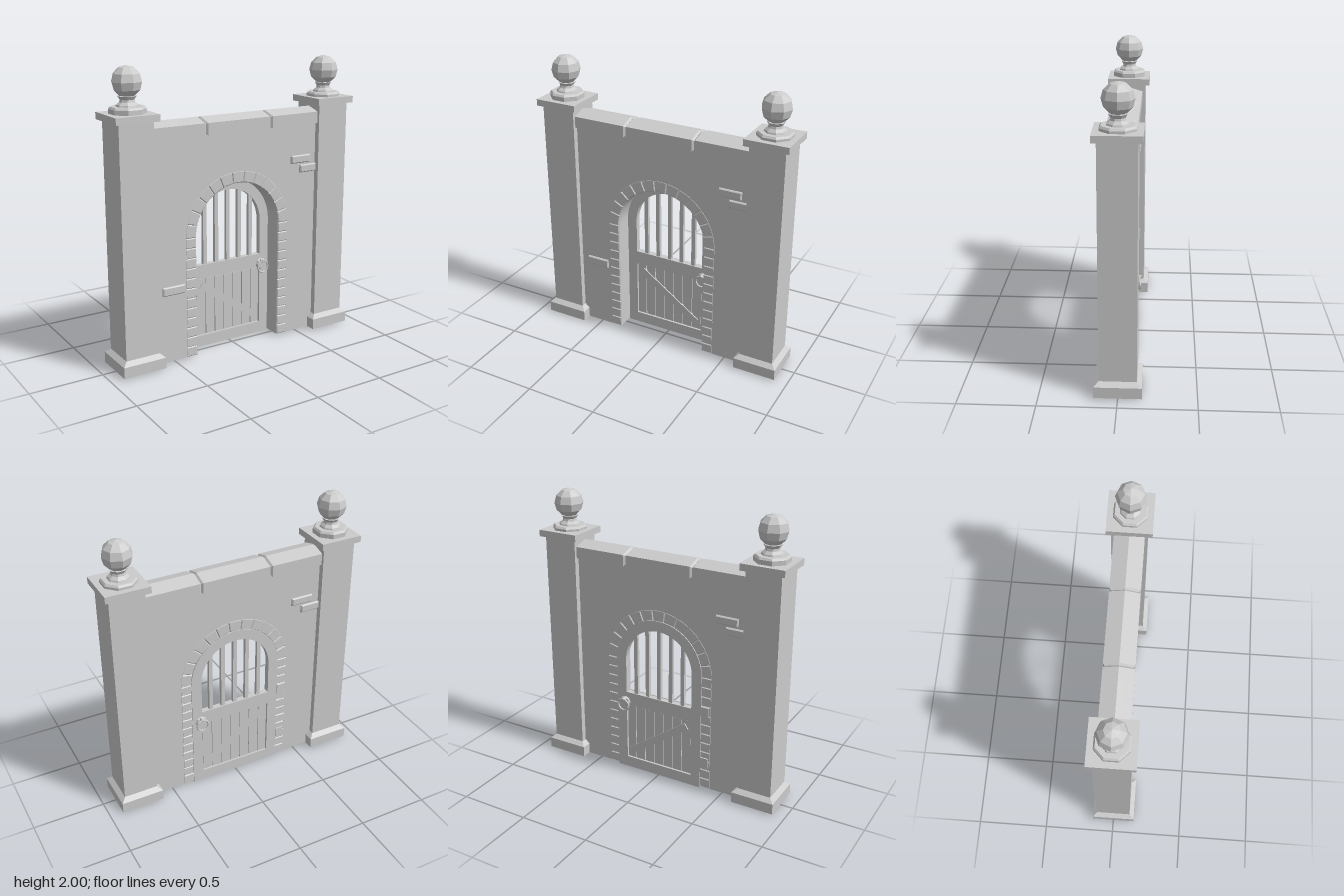
import * as THREE from 'three';

const stone = new THREE.MeshStandardMaterial({ color: 0xcccccc, flatShading: true });

function add(parent, name, geometry, x = 0, y = 0, z = 0) {
  const mesh = new THREE.Mesh(geometry, stone);
  mesh.name = name;
  mesh.position.set(x, y, z);
  parent.add(mesh);
  return mesh;
}

// Box given by its lower and upper limits on each axis
function slab(parent, name, [x0, x1], [y0, y1], [z0, z1]) {
  return add(parent, name, new THREE.BoxGeometry(x1 - x0, y1 - y0, z1 - z0),
    (x0 + x1) / 2, (y0 + y1) / 2, (z0 + z1) / 2);
}

// Extrusion centred on z = 0, with an optional chamfer kept inside the outline
function extrude(shape, depth, bevel = 0, curveSegments = 12) {
  const g = new THREE.ExtrudeGeometry(shape, {
    depth: depth - 2 * bevel, bevelEnabled: bevel > 0, bevelSize: bevel,
    bevelThickness: bevel, bevelOffset: -bevel, bevelSegments: 1, curveSegments,
  });
  return g.translate(0, 0, -depth / 2 + bevel);
}

const polygon = pts => new THREE.Shape(pts.map(p => new THREE.Vector2(...p)));
const rect = (x0, x1, y0, y1) => polygon([[x0, y0], [x1, y0], [x1, y1], [x0, y1]]);

const SPRING = 0.85; // height of the arch centre

// Straight sides with a half-round head
function archOutline(r, bottom) {
  const s = new THREE.Shape();
  s.moveTo(-r, bottom);
  s.lineTo(r, bottom);
  s.lineTo(r, SPRING);
  s.absarc(0, SPRING, r, 0, Math.PI, false);
  s.lineTo(-r, bottom);
  return s;
}

function lathe(points) {
  return new THREE.LatheGeometry(points.map(p => new THREE.Vector2(...p)), 8, Math.PI / 8);
}

function makePillar(name, x, drop) {
  const g = new THREE.Group();
  g.name = name;
  g.position.x = x;
  slab(g, 'pillarBase', [-0.152, 0.152], [0.01, 0.085], [-0.152, 0.152]);
  const chamfer = new THREE.CylinderGeometry(0.12 * Math.SQRT2, 0.152 * Math.SQRT2, 0.027, 4);
  add(g, 'baseChamfer', chamfer.rotateY(Math.PI / 4), 0, 0.0985);
  slab(g, 'pillarShaft', [-0.12, 0.12], [0.1, 1.66], [-0.12, 0.12]);
  slab(g, 'pillarCap', [-0.15, 0.15], [1.66, 1.705], [-0.15, 0.15]);
  // Finial: octagonal plinth, waisted neck and faceted ball
  add(g, 'finialPlinth', lathe([[0, 1.69], [0.119, 1.69], [0.119, 1.735], [0.108, 1.748], [0, 1.748]]), 0, -drop);
  add(g, 'finialNeck', lathe([[0.075, 1.745], [0.07, 1.758], [0.05, 1.775], [0.046, 1.79], [0.06, 1.812], [0, 1.83]]), 0, -drop);
  add(g, 'finialBall', new THREE.SphereGeometry(0.1, 8, 6), 0, 1.9 - drop);
  return g;
}

function makeWall() {
  const g = new THREE.Group();
  g.name = 'wall';
  const r = 0.405;
  const s = new THREE.Shape();
  s.moveTo(-0.66, 0.01);
  s.lineTo(-r, 0.01);
  s.lineTo(-r, SPRING);
  s.absarc(0, SPRING, r, Math.PI, 0, true);
  s.lineTo(r, 0.01);
  s.lineTo(0.66, 0.01);
  s.lineTo(0.66, 1.54);
  s.lineTo(-0.66, 1.54);
  add(g, 'wallPanel', extrude(s, 0.16, 0, 16));

  // Ridged coping stones, chamfered at the joints
  const profile = polygon([[-0.1, 1.53], [0.1, 1.53], [0.1, 1.61], [0, 1.64], [-0.1, 1.61]]);
  for (const [a, b] of [[-0.66, -0.255], [-0.255, 0.25], [0.25, 0.655]]) {
    add(g, 'copingStone', extrude(profile, b - a, 0.012).rotateY(Math.PI / 2), (a + b) / 2);
  }

  // Bricks standing slightly proud of the wall
  const bricks = [
    [0.43, 0.59, 1.26, 1.315, 1], [0.505, 0.65, 1.19, 1.245, 1], [-0.59, -0.425, 0.485, 0.545, 1],
    [-0.59, -0.43, 1.26, 1.315, -1], [-0.65, -0.505, 1.19, 1.245, -1],
  ];
  for (const [x0, x1, y0, y1, side] of bricks) {
    add(g, 'raisedBrick', extrude(rect(x0, x1, y0, y1), 0.04, 0.007), 0, 0, side * 0.075);
  }
  return g;
}

function makeArch() {
  const g = new THREE.Group();
  g.name = 'archSurround';
  const inner = 0.33, outer = 0.412, depth = 0.164, bevel = 0.006;
  const rows = 12, wedges = 13;
  const h = (SPRING - 0.01) / rows;
  for (const side of [-1, 1]) {
    for (let i = 0; i < rows; i++) {
      const y = 0.01 + i * h;
      const [a, b] = side > 0 ? [inner, outer] : [-outer, -inner];
      add(g, 'jambStone', extrude(rect(a, b, y, y + h), depth, bevel));
    }
  }
  for (let i = 0; i < wedges; i++) {
    const a = (i / wedges) * Math.PI, b = ((i + 1) / wedges) * Math.PI;
    const s = new THREE.Shape();
    s.absarc(0, SPRING, outer, a, b, false);
    s.absarc(0, SPRING, inner, b, a, true);
    add(g, 'archStone', extrude(s, depth, bevel, 2));
  }
  return g;
}

function makeDoor() {
  const g = new THREE.Group();
  g.name = 'door';
  g.position.z = -0.066;
  // Frame with an arched window above a square panel
  const frame = archOutline(0.334, 0);
  frame.holes.push(archOutline(0.26, 0.6), rect(-0.26, 0.26, 0.08, 0.5));
  add(g, 'doorFrame', extrude(frame, 0.04));

  for (let i = -2; i <= 2; i++) {
    const x = i * 0.0925;
    const top = SPRING + Math.sqrt(0.26 ** 2 - x * x) + 0.01;
    slab(g, 'windowBar', [x - 0.014, x + 0.014], [0.59, top], [-0.012, 0.012]);
  }

  // Planks over a thin backing, so the grooves stay closed
  slab(g, 'plankBacking', [-0.265, 0.265], [0.075, 0.505], [-0.004, 0.004]);
  const pitch = 0.52 / 7;
  for (let i = 0; i < 7; i++) {
    const x = -0.26 + i * pitch;
    slab(g, 'plank', [x + 0.005, x + pitch - 0.005], [0.085, 0.495], [-0.012, 0.012]);
  }
  const brace = add(g, 'diagonalBrace', new THREE.BoxGeometry(0.54, 0.05, 0.04), 0, 0.297);
  brace.rotation.z = -Math.atan2(0.315, 0.45);

  // Ring handle on each face
  for (const side of [-1, 1]) {
    const h = new THREE.Group();
    h.name = 'ringHandle';
    h.position.set(0.27, 0.515, side * 0.02);
    add(h, 'handlePlate', new THREE.CylinderGeometry(0.034, 0.042, 0.012, 8).rotateX(side * Math.PI / 2), 0, 0.01, side * 0.006);
    add(h, 'handleBoss', new THREE.CylinderGeometry(0.011, 0.014, 0.04, 8).rotateX(side * Math.PI / 2), 0, 0.035, side * 0.02);
    add(h, 'handleRing', new THREE.TorusGeometry(0.042, 0.007, 6, 14), 0, -0.005, side * 0.03);
    g.add(h);
  }

  // Hinge leaves on the back
  for (const y of [0.21, 0.6]) {
    slab(g, 'hinge', [-0.395, -0.335], [y - 0.035, y + 0.035], [-0.026, 0]);
  }
  return g;
}

export function createModel() {
  const model = new THREE.Group();
  model.name = 'gardenGate';
  model.add(
    makePillar('rightPillar', -0.763, 0),
    makePillar('leftPillar', 0.758, 0.014),
    makeWall(), makeArch(), makeDoor(),
  );
  return model;
}
